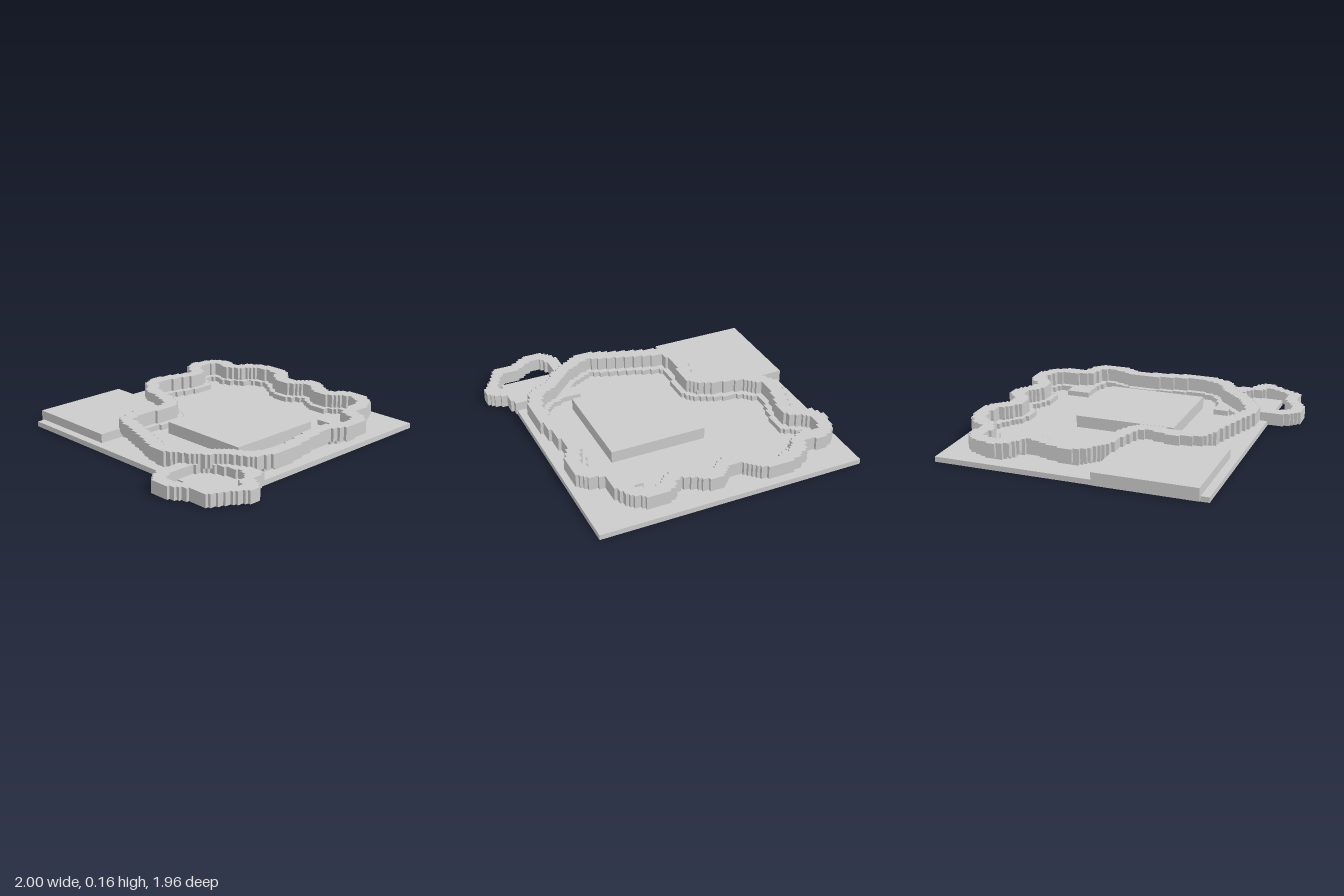
import * as THREE from 'three';

const material = new THREE.MeshStandardMaterial({ color: 0xcccccc, flatShading: true });
const STEP = 0.02;

// Smooth closed curve through x,z pairs, sampled evenly
function smoothLoop(flat, samples) {
  const pts = [];
  for (let i = 0; i < flat.length; i += 2) pts.push(new THREE.Vector3(flat[i], 0, flat[i + 1]));
  const curve = new THREE.CatmullRomCurve3(pts, true, 'centripetal');
  return curve.getSpacedPoints(samples).slice(0, samples).map((p) => new THREE.Vector2(p.x, p.z));
}

// Moves a loop inwards, dropping points that would fold over
function inset(loop, d) {
  const n = loop.length;
  return loop
    .map((p, i) => {
      const t = loop[(i + 1) % n].clone().sub(loop[(i + n - 1) % n]).normalize();
      return new THREE.Vector2(p.x - t.y * d, p.y + t.x * d);
    })
    .filter((q) => loop.every((p) => p.distanceTo(q) > d * 0.96));
}

// Turns a loop into a staircase of axis-aligned steps; y is flipped for extruding
function stepped(loop) {
  const snap = (v) => Math.round(v / STEP) * STEP;
  const out = [];
  const last = loop[loop.length - 1];
  let px = snap(last.x), pz = snap(last.y);
  for (const p of loop) {
    const x = snap(p.x), z = snap(p.y);
    if (x !== px && z !== pz) out.push(new THREE.Vector2(x, -pz));
    if (x !== px || z !== pz) out.push(new THREE.Vector2(x, -z));
    px = x;
    pz = z;
  }
  return out;
}

// Wall between two loops; the hole runs opposite to the outline so both sides face out
function addRing(group, name, outer, inner, y0, y1) {
  const shape = new THREE.Shape(stepped(outer));
  shape.holes.push(new THREE.Path(stepped(inner).reverse()));
  const geo = new THREE.ExtrudeGeometry(shape, { depth: y1 - y0, bevelEnabled: false });
  geo.rotateX(-Math.PI / 2).translate(0, y0, 0);
  const mesh = new THREE.Mesh(geo, material);
  mesh.name = name;
  group.add(mesh);
}

function addBlock(group, name, x0, x1, y0, y1, z0, z1) {
  const mesh = new THREE.Mesh(new THREE.BoxGeometry(x1 - x0, y1 - y0, z1 - z0), material);
  mesh.position.set((x0 + x1) / 2, (y0 + y1) / 2, (z0 + z1) / 2);
  mesh.name = name;
  group.add(mesh);
}

export function createModel() {
  const group = new THREE.Group();
  group.name = 'terrainBoard';

  // Flat slabs
  addBlock(group, 'base', -0.79, 1.0, 0, 0.035, -0.955, 0.83);
  addBlock(group, 'backPlatform', -0.735, -0.06, 0.01, 0.095, -0.98, -0.33);
  addBlock(group, 'centrePlatform', -0.305, 0.375, 0.03, 0.115, -0.165, 0.487);

  // Wandering wall outline, clockwise from above
  const outline = smoothLoop([
    0.66, -0.91, 0.77, -0.87, 0.84, -0.78, 0.82, -0.65, 0.89, -0.61, 0.95, -0.53,
    0.98, -0.42, 0.96, -0.28, 0.88, -0.19, 0.85, -0.11, 0.9, -0.05, 0.94, 0.03,
    0.92, 0.11, 0.86, 0.19, 0.85, 0.25, 0.91, 0.31, 0.94, 0.39, 0.93, 0.5,
    0.86, 0.59, 0.78, 0.63, 0.65, 0.65, 0.61, 0.75, 0.52, 0.8, 0.36, 0.79,
    0.26, 0.745, 0, 0.78, -0.18, 0.81, -0.34, 0.78, -0.44, 0.72, -0.51, 0.6,
    -0.62, 0.5, -0.7, 0.38, -0.765, 0.22, -0.71, 0.05, -0.66, -0.1, -0.62, -0.22,
    -0.58, -0.33, -0.48, -0.38, -0.35, -0.395, -0.25, -0.37, -0.17, -0.375, -0.12, -0.45,
    -0.09, -0.55, -0.06, -0.67, 0, -0.74, 0.05, -0.8, 0.13, -0.835, 0.25, -0.82,
    0.35, -0.79, 0.45, -0.77, 0.5, -0.84, 0.56, -0.9,
  ], 500);
  addRing(group, 'upperWall', outline, inset(outline, 0.09), 0.07, 0.16);
  addRing(group, 'lowerWall', inset(outline, 0.05), inset(outline, 0.13), 0.034, 0.07);

  // Inner spurs of the lower wall
  addBlock(group, 'rightSpur', 0.53, 0.69, 0.034, 0.07, 0.41, 0.58);
  addBlock(group, 'leftSpur', -0.51, -0.41, 0.034, 0.07, 0.385, 0.56);

  // Small side loop hanging over the base corner
  const sideOuter = smoothLoop([
    -0.84, 0.375, -0.72, 0.375, -0.6, 0.41, -0.52, 0.52, -0.46, 0.65, -0.44, 0.74,
    -0.45, 0.84, -0.55, 0.86, -0.59, 0.95, -0.66, 0.98, -0.72, 0.95, -0.8, 0.9,
    -0.92, 0.82, -0.93, 0.7, -0.995, 0.59, -0.995, 0.48, -0.95, 0.41,
  ], 200);
  const sideInner = smoothLoop([
    -0.82, 0.46, -0.68, 0.46, -0.6, 0.51, -0.55, 0.62, -0.53, 0.74, -0.56, 0.8,
    -0.64, 0.83, -0.67, 0.88, -0.75, 0.85, -0.84, 0.79, -0.85, 0.67, -0.91, 0.58,
    -0.91, 0.49,
  ], 160);
  addRing(group, 'sideLoop', sideOuter, sideInner, 0.01, 0.095);

  return group;
}
